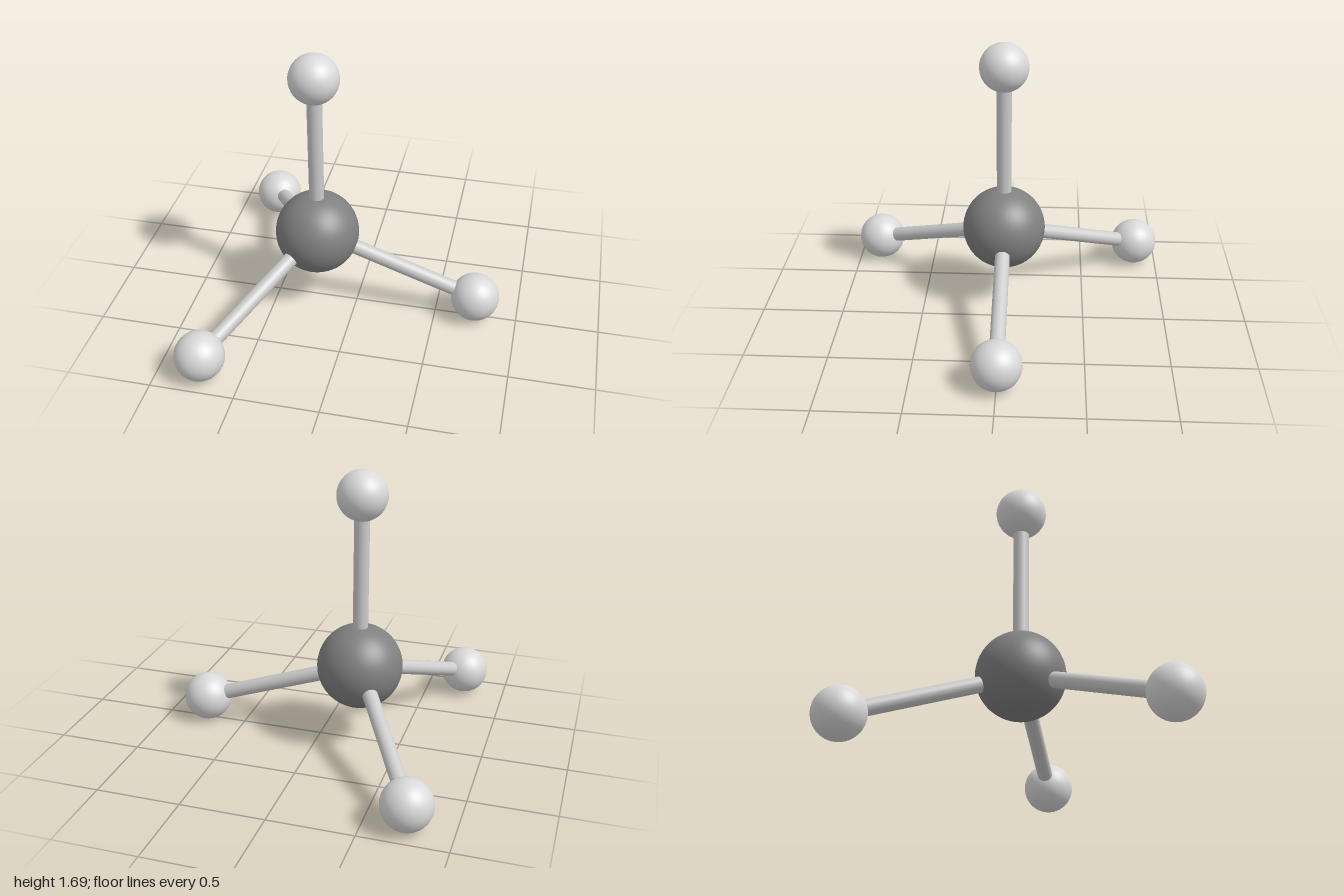
import * as THREE from 'three';

export function createModel() {
  const group = new THREE.Group();
  const dark = new THREE.MeshStandardMaterial({ color: 0x808080 });
  dark.name = 'dark grey';
  const light = new THREE.MeshStandardMaterial({ color: 0xd9d9d9 });
  light.name = 'light grey';
  const rodGrey = new THREE.MeshStandardMaterial({ color: 0xcccccc });
  rodGrey.name = 'rod grey';

  const centre = new THREE.Vector3(-0.246, 0.495, 0);
  const length = 1.045;
  const up = new THREE.Vector3(0, 1, 0);

  const add = (name, geometry, material, position) => {
    const mesh = new THREE.Mesh(geometry, material);
    mesh.name = name;
    mesh.position.copy(position);
    group.add(mesh);
    return mesh;
  };

  // Large central ball
  add('centralBall', new THREE.SphereGeometry(0.254, 48, 32), dark, centre);

  // Four tetrahedral directions: one upright, three spread around below it
  const directions = [up];
  for (let i = 0; i < 3; i++) {
    const a = (i * Math.PI * 2) / 3;
    const r = Math.sqrt(8) / 3;
    directions.push(new THREE.Vector3(r * Math.cos(a), -1 / 3, r * Math.sin(a)));
  }

  // Rod and small ball along each direction
  const rod = new THREE.CylinderGeometry(0.045, 0.045, length, 32);
  const ball = new THREE.SphereGeometry(0.147, 32, 24);
  directions.forEach((dir, i) => {
    const mesh = add(`rod${i + 1}`, rod, rodGrey, centre.clone().addScaledVector(dir, length / 2));
    mesh.quaternion.setFromUnitVectors(up, dir);
    add(`outerBall${i + 1}`, ball, light, centre.clone().addScaledVector(dir, length));
  });
  return group;
}
